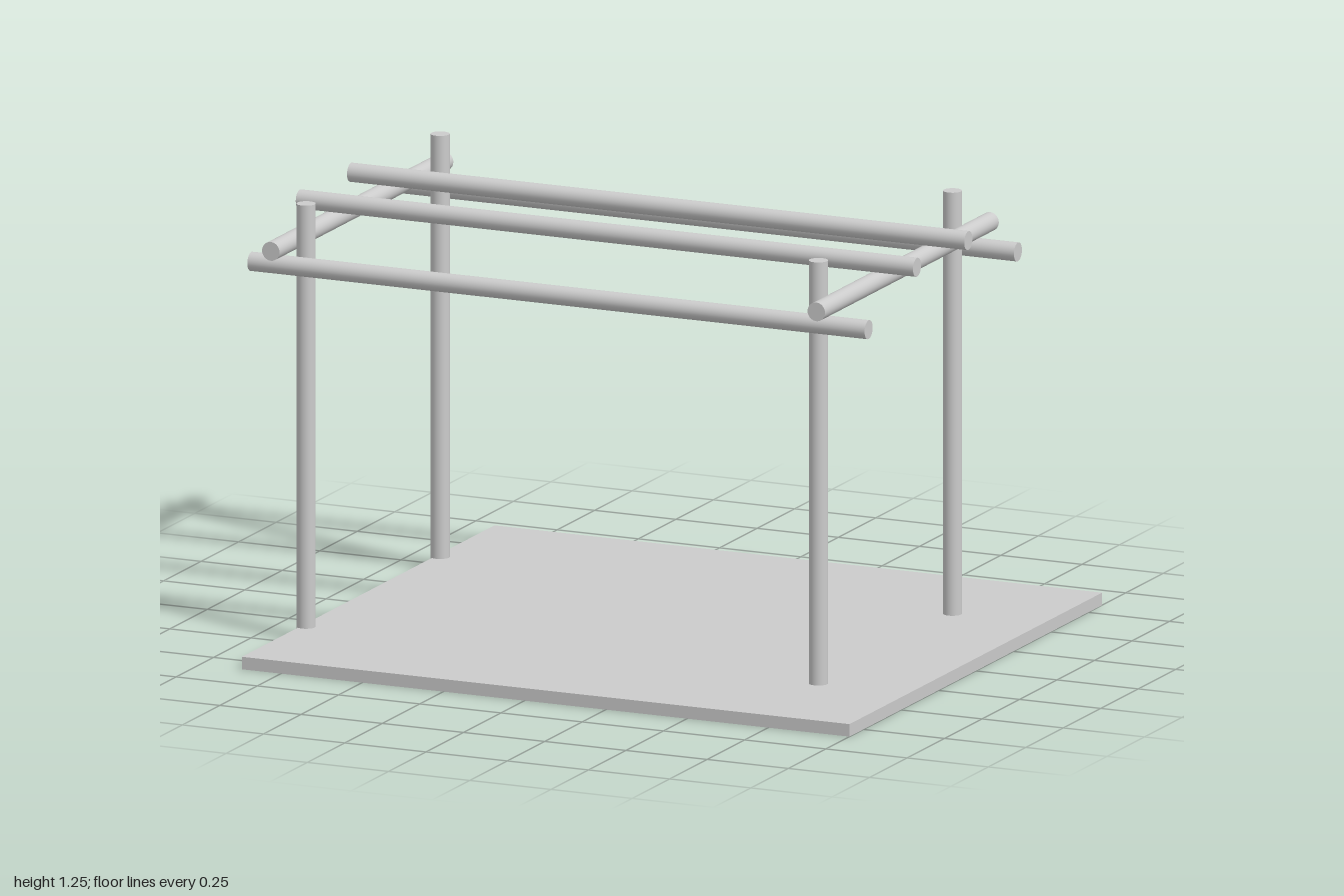
import * as THREE from 'three';

const R = 0.027;

export function createModel() {
  const model = new THREE.Group();
  const material = new THREE.MeshStandardMaterial({ color: 0xcccccc });

  // Round pole along an axis, centred at (x, y, z)
  function pole(name, axis, length, x, y, z) {
    const geometry = new THREE.CylinderGeometry(R, R, length, 32);
    if (axis === 'x') geometry.rotateZ(Math.PI / 2);
    if (axis === 'z') geometry.rotateX(Math.PI / 2);
    const mesh = new THREE.Mesh(geometry, material);
    mesh.name = name;
    mesh.position.set(x, y, z);
    model.add(mesh);
  }

  // Floor slab, offset from the frame
  const floor = new THREE.Mesh(new THREE.BoxGeometry(1.87, 0.036, 1.685), material);
  floor.name = 'floor';
  floor.position.set(0.065, 0.018, 0);
  model.add(floor);

  // Four upright posts
  for (const [side, x] of [['right', -0.855], ['left', 0.722]]) {
    for (const [end, z] of [['Front', 0.447], ['Back', -0.447]]) {
      pole(side + end + 'Post', 'y', 1.239, x, 0.6345, z);
    }
  }

  // Long beams outside the posts
  pole('frontBeam', 'x', 1.9, -0.05, 1.084, 0.498);
  pole('backBeam', 'x', 1.9, -0.05, 1.084, -0.498);

  // Cross beams resting on the long beams
  pole('rightCrossBeam', 'z', 1.159, -0.907, 1.138, -0.01);
  pole('leftCrossBeam', 'z', 1.159, 0.772, 1.138, -0.01);

  // Roof poles resting on the cross beams
  pole('frontRoofPole', 'x', 1.9, -0.05, 1.191, 0.175);
  pole('backRoofPole', 'x', 1.9, -0.05, 1.191, -0.167);

  return model;
}
